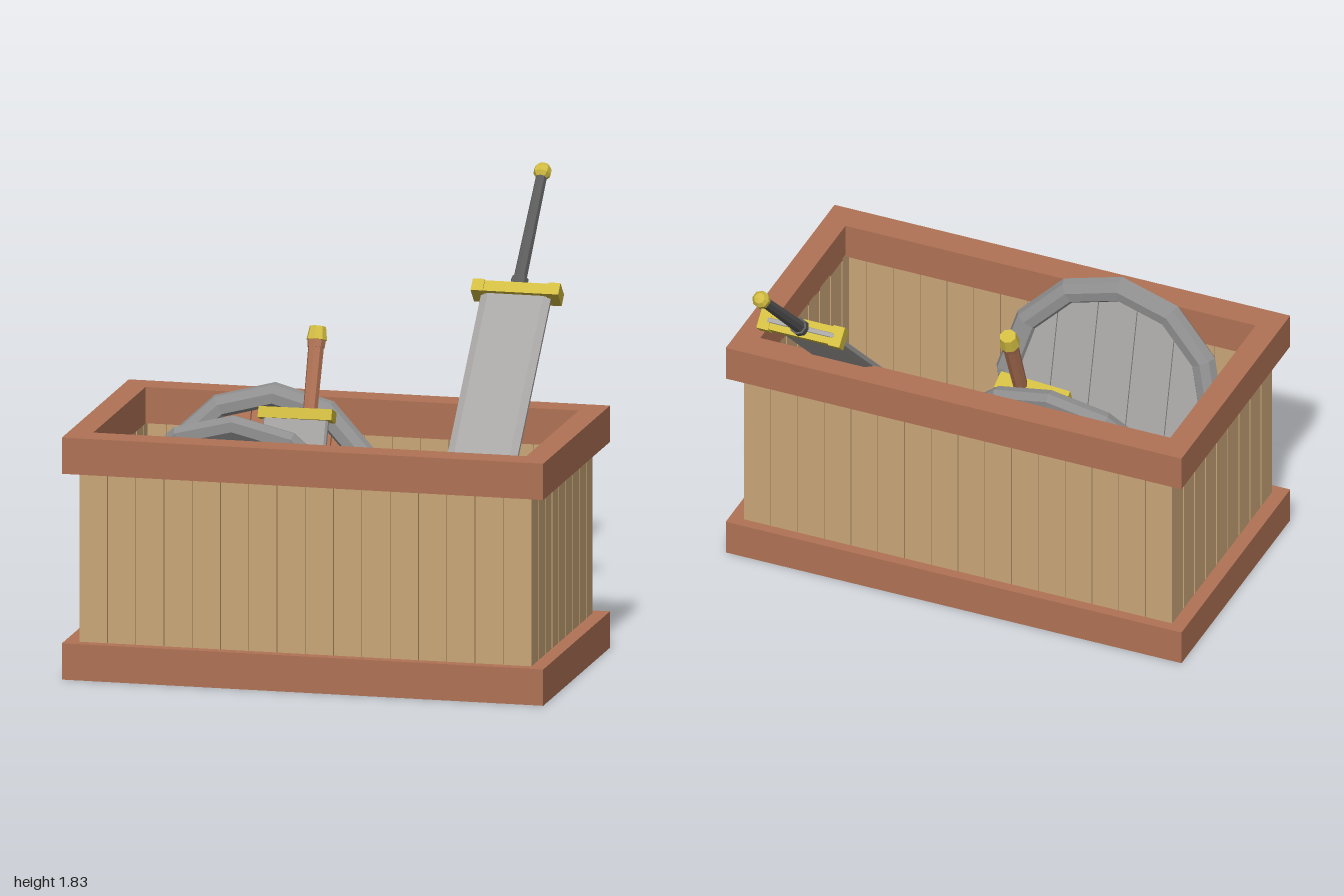
import * as THREE from 'three';

const mat = (name, color, extra = {}) => {
  const m = new THREE.MeshStandardMaterial({ color, flatShading: true, ...extra });
  m.name = name;
  return m;
};

export function createModel() {
  const wood = mat('redWood', 0xb07355);
  const plankWood = mat('paleWood', 0xc9a678);
  const steel = mat('steel', 0xa8a6a4);
  const iron = mat('iron', 0x8f8f8f);
  const dark = mat('darkIron', 0x5c5c5c);
  const gold = mat('gold', 0xd2bd42);

  const root = new THREE.Group();
  root.name = 'weaponCrate';
  const add = (parent, name, geo, material, x = 0, y = 0, z = 0) => {
    const m = new THREE.Mesh(geo, material);
    m.name = name;
    m.position.set(x, y, z);
    parent.add(m);
    return m;
  };
  const group = (name, x, y, z, rx) => {
    const g = new THREE.Group();
    g.name = name;
    g.position.set(x, y, z);
    g.rotation.x = rx;
    root.add(g);
    return g;
  };
  const box = (w, h, d) => new THREE.BoxGeometry(w, h, d);

  // Crate: solid base, floor, plank walls and top frame
  const crate = group('crate', 0, 0, 0.365, 0);
  add(crate, 'base', box(2, 0.15, 1.11), wood, 0, 0.075);
  add(crate, 'floor', box(1.84, 0.012, 0.98), plankWood, 0, 0.152);
  const rect = (w, d) => new THREE.Shape([[-w, -d], [w, -d], [w, d], [-w, d]].map(p => new THREE.Vector2(...p)));
  const frame = rect(1, 0.555);
  frame.holes.push(rect(0.9, 0.435));
  const frameGeo = new THREE.ExtrudeGeometry(frame, { depth: 0.15, bevelEnabled: false });
  frameGeo.rotateX(-Math.PI / 2);
  add(crate, 'topFrame', frameGeo, wood, 0, 0.85, 0);

  for (const s of [-1, 1]) {
    // Thin lining closes the gaps between the planks
    add(crate, 'longLining', box(1.84, 0.72, 0.016), plankWood, 0, 0.5, s * 0.487);
    add(crate, 'shortLining', box(0.016, 0.72, 0.97), plankWood, s * 0.917, 0.5, 0);
    const nLong = 16, wLong = 1.88 / nLong;
    for (let i = 0; i < nLong; i++) {
      add(crate, 'longPlank', box(wLong - 0.003, 0.72, 0.04), plankWood,
        -0.94 + (i + 0.5) * wLong, 0.5, s * 0.49);
    }
    const nShort = 9, wShort = 1.02 / nShort;
    for (let i = 0; i < nShort; i++) {
      add(crate, 'shortPlank', box(0.04, 0.72, wShort - 0.01), plankWood,
        s * 0.92, 0.5, -0.51 + (i + 0.5) * wShort);
    }
  }

  // Blade outline, extruded with chamfered edges and centred on its thickness
  const bladeGeo = (shape, chamfer) => {
    const geo = new THREE.ExtrudeGeometry(shape, {
      depth: 0.016, bevelThickness: 0.014, bevelSize: chamfer, bevelOffset: -chamfer,
      bevelSegments: 1, curveSegments: 8,
    });
    return geo.translate(0, 0, -0.008);
  };

  // Great sword leaning over the back, blade down
  const sword = group('greatSword', 0.547, 1.385, -0.46, -0.8);
  const outline = new THREE.Shape([
    [-0.145, 0.03], [-0.145, -1.69], [-0.075, -1.79], [0.075, -1.79], [0.145, -1.69], [0.145, 0.03],
  ].map(p => new THREE.Vector2(...p)));
  add(sword, 'swordBlade', bladeGeo(outline, 0.03), steel);
  add(sword, 'swordGuard', box(0.3, 0.05, 0.075), gold);
  for (const s of [-1, 1]) add(sword, 'guardEnd', box(0.05, 0.056, 0.085), gold, s * 0.157);
  add(sword, 'swordCollar', new THREE.CylinderGeometry(0.036, 0.036, 0.04, 8), dark, 0, 0.045);
  add(sword, 'swordGrip', new THREE.CylinderGeometry(0.023, 0.028, 0.53, 8), dark, 0, 0.3);
  add(sword, 'swordPommel', new THREE.SphereGeometry(0.038, 8, 5), gold, 0, 0.585);

  // Broad curved knife, blade down
  const knife = group('curvedKnife', -0.18, 0.955, 0.08, -0.38);
  const curve = new THREE.Shape();
  curve.moveTo(0.08, 0);
  curve.lineTo(-0.19, 0);
  curve.bezierCurveTo(-0.19, -0.35, -0.11, -0.72, 0.08, -0.92);
  curve.lineTo(0.08, 0);
  add(knife, 'knifeBlade', bladeGeo(curve, 0.008), steel);
  const guardGeo = box(0.31, 0.045, 0.08);
  const gp = guardGeo.attributes.position;
  for (let i = 0; i < gp.count; i++) {
    if (gp.getX(i) < 0) gp.setZ(i, gp.getZ(i) * 0.6);
  }
  add(knife, 'knifeGuard', guardGeo, gold, -0.055, 0, 0);
  add(knife, 'knifeGrip', new THREE.CylinderGeometry(0.033, 0.03, 0.28, 8), wood, 0, 0.16);
  add(knife, 'gripCollar', new THREE.CylinderGeometry(0.038, 0.036, 0.03, 8), wood, 0, 0.292);
  add(knife, 'knifePommel', new THREE.CylinderGeometry(0.034, 0.043, 0.055, 8), gold, 0, 0.335);

  // Round shields: twelve-sided rim, plank face, metal back and a boss
  const planks = (parent, name, z, material) => {
    const R = 0.425, n = 5, w = (2 * R) / n;
    for (let i = 0; i < n; i++) {
      const a = -R + i * w + 0.002, b = a + w - 0.004;
      const pts = [];
      for (let k = 0; k <= 4; k++) {
        const x = a + ((b - a) * k) / 4;
        pts.push(new THREE.Vector2(x, Math.sqrt(Math.max(R * R - x * x, 0))));
      }
      const lower = pts.map(p => new THREE.Vector2(p.x, -p.y - 0.001));
      const shape = new THREE.Shape([...lower, ...pts.reverse()]);
      add(parent, name, new THREE.ExtrudeGeometry(shape, { depth: 0.015, bevelEnabled: false }), material, 0, 0, z);
    }
  };
  const bossProfile = [[0.18, 0], [0.18, 0.02], [0.15, 0.035], [0.11, 0.025], [0.1, 0.05], [0.06, 0.085], [0, 0.095]]
    .map(p => new THREE.Vector2(...p));
  const shield = (name, x, y, z, rx) => {
    const g = group(name, x, y, z, rx);
    const rim = new THREE.TorusGeometry(0.445, 0.055, 8, 12);
    rim.scale(1, 1, 0.8);
    add(g, 'shieldRim', rim, iron);
    planks(g, 'shieldFace', 0, wood);
    planks(g, 'shieldBack', -0.015, steel);
    const boss = new THREE.LatheGeometry(bossProfile, 12);
    boss.rotateX(Math.PI / 2);
    add(g, 'shieldBoss', boss, bossMat, 0, 0, 0.015);
  };
  const bossMat = mat('bossIron', 0x8a8a8a, { side: THREE.DoubleSide });
  shield('backShield', -0.355, 0.59, 0.135, -0.38);
  shield('frontShield', -0.325, 0.612, 0.655, 0.245);

  return root;
}
